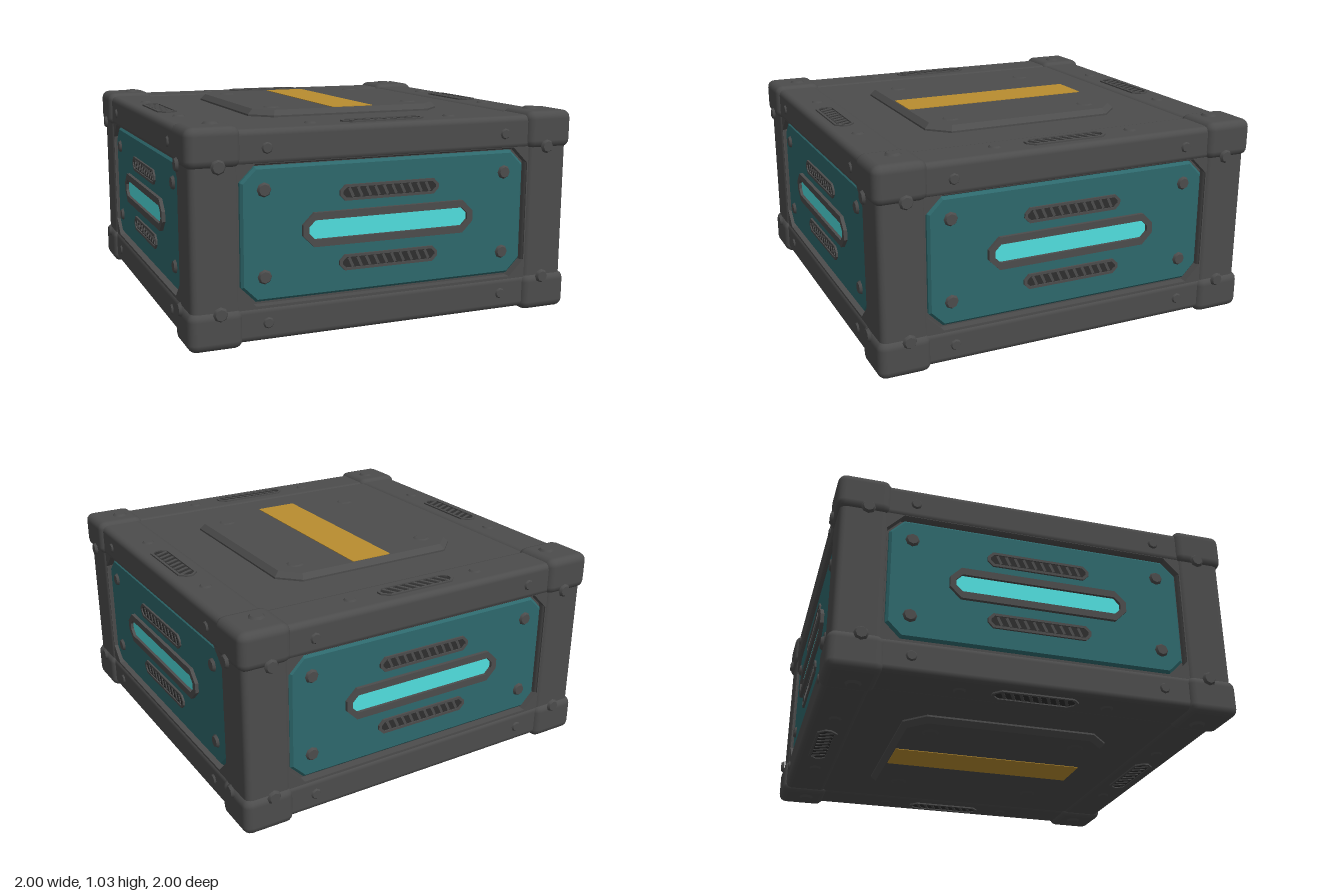
import * as THREE from 'three';
import { RoundedBoxGeometry } from 'three/addons/geometries/RoundedBoxGeometry.js';

const material = (name, color) => {
  const m = new THREE.MeshStandardMaterial({ color });
  m.name = name;
  return m;
};

// Rectangle with cut corners, centred on (x, y)
function cutRect(w, h, c, x = 0, y = 0, Type = THREE.Shape) {
  const a = w / 2, b = h / 2;
  const pts = [[a - c, -b], [a, -b + c], [a, b - c], [a - c, b], [-a + c, b], [-a, b - c], [-a, -b + c], [-a + c, -b]];
  return new Type(pts.map(([px, py]) => new THREE.Vector2(px + x, py + y)));
}

export function createModel() {
  const metal = material('dark metal', 0x4c4c4c);
  const recess = material('vent shadow', 0x2e2e2e);
  const teal = material('teal paint', 0x2d686c);
  const glow = material('cyan light', 0x50dede);
  const yellow = material('yellow paint', 0xb98d2f);

  const model = new THREE.Group();
  model.name = 'crate';
  const body = new THREE.Group();
  body.name = 'body';
  body.position.y = 0.515;
  model.add(body);

  const add = (parent, name, geometry, mat, x = 0, y = 0, z = 0) => {
    const mesh = new THREE.Mesh(geometry, mat);
    mesh.name = name;
    mesh.position.set(x, y, z);
    parent.add(mesh);
    return mesh;
  };

  // Flat shape extruded from z0 to z1, with an optional bevelled rim
  const slab = (parent, name, shape, mat, z0, z1, bevel = 0) => {
    const geometry = new THREE.ExtrudeGeometry(shape, {
      depth: z1 - z0 - 2 * bevel, bevelEnabled: bevel > 0, bevelSize: bevel,
      bevelThickness: bevel, bevelOffset: -bevel, bevelSegments: 1,
    });
    return add(parent, name, geometry, mat, 0, 0, z0 + bevel);
  };

  const bolt = (parent, x, y, z, r = 0.035, h = 0.014) => {
    const geometry = new THREE.CylinderGeometry(r * 0.75, r, h, 8).rotateX(Math.PI / 2);
    add(parent, 'bolt', geometry, metal, x, y, z + h / 2);
  };

  // Slot with a raised rim and slanted slats
  const vent = (parent, w, h, y, z) => {
    const g = new THREE.Group();
    g.name = 'vent';
    g.position.set(0, y, z);
    parent.add(g);
    const rim = cutRect(w, h, h * 0.35);
    rim.holes.push(cutRect(w - 0.03, h - 0.025, h * 0.25, 0, 0, THREE.Path));
    slab(g, 'ventRim', rim, metal, -0.01, 0.008);
    slab(g, 'ventBack', cutRect(w - 0.02, h - 0.02, h * 0.25), recess, -0.006, 0.002);
    const count = Math.round(w / 0.05);
    for (let i = 0; i < count; i++) {
      const x = (i + 0.5 - count / 2) * (w - 0.07) / count;
      add(g, 'ventSlat', new THREE.BoxGeometry(0.014, h - 0.028, 0.006), metal, x, 0, 0.003).rotation.z = 0.45;
    }
  };

  // Core and the edge rails around it
  add(body, 'core', new THREE.BoxGeometry(1.84, 0.956, 1.84), metal);
  for (const s of [-1, 1]) {
    for (const t of [-1, 1]) {
      add(body, 'frontRail', new RoundedBoxGeometry(1.6, 0.165, 0.225, 2, 0.03), metal, 0, s * 0.403, t * 0.855);
      add(body, 'sideRail', new RoundedBoxGeometry(0.225, 0.165, 1.6, 2, 0.03), metal, s * 0.855, t * 0.403, 0);
      add(body, 'cornerPost', new RoundedBoxGeometry(0.228, 0.8, 0.228, 2, 0.03), metal, s * 0.854, 0, t * 0.854);
      for (const v of [-1, 1]) {
        add(body, 'cornerBlock', new RoundedBoxGeometry(0.255, 0.185, 0.255, 2, 0.04), metal, s * 0.858, v * 0.411, t * 0.858);
      }
    }
  }

  // Four identical sides
  for (let i = 0; i < 4; i++) {
    const side = new THREE.Group();
    side.name = 'side';
    side.rotation.y = i * Math.PI / 2;
    body.add(side);

    const bezel = cutRect(1.6, 0.74, 0.02);
    bezel.holes.push(cutRect(1.49, 0.65, 0.08, 0, 0.005, THREE.Path));
    slab(side, 'panelSurround', bezel, metal, 0.9, 0.961);

    const panel = cutRect(1.46, 0.62, 0.07, 0, 0.005);
    slab(side, 'panel', panel, teal, 0.9, 0.948, 0.012);

    // Lit slot set inside a raised rim
    const rim = cutRect(0.88, 0.16, 0.055, 0, 0.01);
    rim.holes.push(cutRect(0.82, 0.09, 0.03, 0, 0.01, THREE.Path));
    slab(side, 'lightRim', rim, metal, 0.93, 0.966);
    slab(side, 'light', cutRect(0.83, 0.1, 0.03, 0, 0.01), glow, 0.943, 0.951);

    vent(side, 0.51, 0.075, 0.17, 0.95);
    vent(side, 0.51, 0.075, -0.16, 0.95);

    for (const s of [-1, 1]) {
      for (const t of [-1, 1]) {
        bolt(side, s * 0.62, t * 0.2 + 0.01, 0.947);
        bolt(side, s * 0.84, t * 0.33, 0.984);
        bolt(side, s * 0.61, t * 0.4, 0.966, 0.028, 0.01);
      }
    }
  }

  // Matching top and bottom
  for (const flip of [0, Math.PI]) {
    const turn = new THREE.Group();
    turn.name = flip ? 'underside' : 'topSide';
    turn.rotation.z = flip;
    body.add(turn);
    const cap = new THREE.Group();
    cap.name = 'cap';
    cap.rotation.x = -Math.PI / 2;
    turn.add(cap);

    slab(cap, 'hatch', cutRect(1.04, 1.06, 0.1), metal, 0.45, 0.512, 0.025);
    slab(cap, 'stripe', cutRect(0.22, 1.0, 0.005, 0.01), yellow, 0.507, 0.515);

    for (const s of [-1, 1]) {
      for (const t of [-1, 1]) {
        bolt(cap, s * 0.38, t * 0.38, 0.511, 0.045, 0.006);
        bolt(cap, s * 0.83, t * 0.84, 0.503, 0.04, 0.011);
      }
    }

    // Vent and bolts on each rail
    for (let i = 0; i < 4; i++) {
      const rail = new THREE.Group();
      rail.name = 'railDetails';
      rail.rotation.z = i * Math.PI / 2;
      cap.add(rail);
      vent(rail, 0.42, 0.1, 0.86, 0.485);
      for (const s of [-1, 1]) bolt(rail, s * 0.36, 0.85, 0.485, 0.032, 0.008);
    }
  }

  return model;
}
